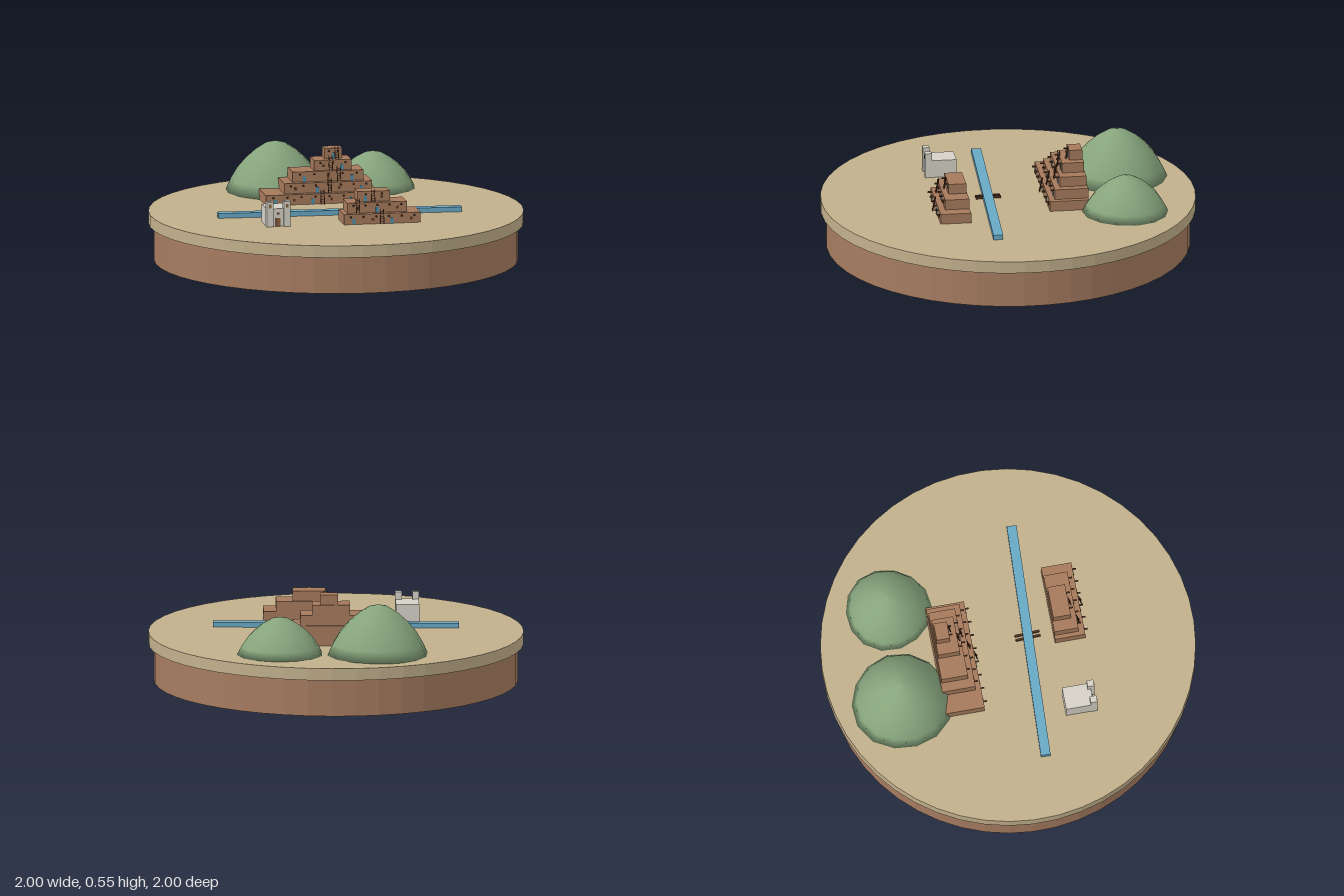
import * as THREE from 'three';

const mat = (name, color, extra = {}) => {
  const m = new THREE.MeshStandardMaterial({ color, ...extra });
  m.name = name;
  return m;
};

export function createModel() {
  const sand = mat('sand', 0xc2b08c, { flatShading: true });
  const earth = mat('earth', 0xa67c60, { flatShading: true });
  const adobe = mat('adobe', 0xa67a5c);
  const wood = mat('dark wood', 0x5a3a26);
  const brown = mat('door brown', 0x8b5e3c);
  const blue = mat('painted blue', 0x4a90b0);
  const water = mat('water', 0x68a8c4);
  const plaster = mat('pale plaster', 0xd6d2c8);
  const foliage = mat('hill green', 0x86a47c);

  const model = new THREE.Group();
  model.name = 'villageDiorama';
  const GROUND = 0.265;
  const TURN = -0.349;

  const add = (parent, name, geo, material, x, y, z) => {
    const m = new THREE.Mesh(geo, material);
    m.name = name;
    m.position.set(x, y, z);
    parent.add(m);
    return m;
  };
  // box standing on height y
  const box = (parent, name, material, w, h, d, x, y, z) =>
    add(parent, name, new THREE.BoxGeometry(w, h, d), material, x, y + h / 2, z);
  const site = (name, x, z, turn = TURN) => {
    const g = new THREE.Group();
    g.name = name;
    g.position.set(x, GROUND, z);
    g.rotation.y = turn;
    model.add(g);
    return g;
  };

  // Round base
  add(model, 'baseEarth', new THREE.CylinderGeometry(0.97, 0.97, 0.2, 48), earth, 0, 0.1, 0);
  add(model, 'baseGround', new THREE.CylinderGeometry(1, 1, 0.065, 48), sand, 0, 0.2325, 0);

  // Hills: faceted domes with a slightly uneven outline
  const hill = (name, x, z, r, h, phase) => {
    const pts = [[0, 0], [1, 0], [0.9, 0.22], [0.77, 0.44], [0.6, 0.64], [0.4, 0.82], [0.2, 0.95], [0, 1]]
      .map(([a, b]) => new THREE.Vector2(a * r, b * h));
    const geo = new THREE.LatheGeometry(pts, 14);
    const p = geo.attributes.position;
    for (let i = 0; i < p.count; i++) {
      const a = Math.atan2(p.getZ(i), p.getX(i));
      const k = 1 + 0.02 * Math.sin(3 * a + phase);
      p.setX(i, p.getX(i) * k);
      p.setZ(i, p.getZ(i) * k);
    }
    add(model, name, geo, foliage, x, GROUND, z);
  };
  hill('largeHill', 0.01, -0.65, 0.27, 0.27, 0.5);
  hill('smallHill', 0.495, -0.45, 0.23, 0.2, 2);

  // River and the logs that cross it
  const river = site('river', -0.04, 0.104, -0.392);
  box(river, 'riverWater', water, 1.31, 0.026, 0.052, 0, 0, 0);
  const bridge = site('bridge', -0.01, 0.115, -0.3);
  for (const s of [-1, 1]) box(bridge, 'bridgeLog', wood, 0.011, 0.012, 0.135, s * 0.012, 0.006, 0);

  // Ladder leaning back towards a wall
  const ladder = (parent, x, y, z, len = 0.08) => {
    const g = new THREE.Group();
    g.name = 'ladder';
    g.position.set(x, y, z);
    g.rotation.x = -0.2;
    parent.add(g);
    for (const s of [-1, 1]) box(g, 'ladderRail', wood, 0.004, len, 0.004, s * 0.009, 0, 0);
    for (let i = 1; i < 6; i++) box(g, 'ladderRung', wood, 0.018, 0.003, 0.003, 0, i * len / 6, 0);
  };

  // Stepped house; each tier is [left, right, back, front]
  const TIER = 0.055;
  const pueblo = (name, x, z, tiers) => {
    const g = site(name, x, z);
    tiers.forEach(([l, r, b, f], i) => {
      const w = r - l, y = i * TIER;
      box(g, 'tier', adobe, w, TIER, f - b, (l + r) / 2, y, (b + f) / 2);
      // roof beams
      const n = Math.max(2, Math.round(w / 0.072));
      for (let k = 0; k < n; k++)
        box(g, 'roofBeam', wood, 0.007, 0.007, 0.02, l + (k + 0.5) * w / n, y + 0.038, f + 0.009);
      // doors and windows
      const m = Math.max(1, Math.round(w / 0.11));
      for (let k = 0; k < m; k++) {
        const px = l + (k + 0.5) * w / m;
        if ((k + i) % 2) box(g, 'window', wood, 0.014, 0.014, 0.004, px, y + 0.018, f + 0.001);
        else box(g, 'door', blue, 0.016, 0.03, 0.004, px, y, f + 0.001);
      }
    });
    return g;
  };
  const north = pueblo('northPueblo', 0.065, -0.29, [
    [-0.305, 0.305, -0.105, 0.105],
    [-0.2, 0.276, -0.105, 0.075],
    [-0.149, 0.235, -0.1, 0.043],
    [-0.029, 0.173, -0.096, 0.022],
    [0.035, 0.131, -0.092, -0.021],
  ]);
  ladder(north, 0.0, 0, 0.121);
  ladder(north, 0.045, TIER, 0.09);
  ladder(north, 0.1, TIER * 2, 0.058);
  ladder(north, 0.06, TIER * 3, 0.035);
  ladder(north, 0.1, TIER * 4 - 0.005, -0.006, 0.07);

  const south = pueblo('southPueblo', 0.05, 0.37, [
    [-0.207, 0.207, -0.082, 0.082],
    [-0.184, 0.14, -0.081, 0.049],
    [-0.123, 0.052, -0.076, 0.019],
  ]);
  ladder(south, -0.003, 0, 0.098);
  ladder(south, -0.128, TIER, 0.064);
  ladder(south, -0.04, TIER * 2 - 0.005, 0.034, 0.07);

  // Chapel with two bell towers
  const chapel = site('chapel', -0.468, 0.157);
  box(chapel, 'nave', plaster, 0.125, 0.095, 0.15, 0, 0, 0);
  for (const s of [-1, 1]) {
    box(chapel, 'bellTower', plaster, 0.036, 0.136, 0.036, s * 0.046, 0, 0.076);
    box(chapel, 'bellOpening', brown, 0.014, 0.02, 0.004, s * 0.046, 0.103, 0.0945);
  }
  box(chapel, 'chapelDoor', brown, 0.026, 0.045, 0.004, 0, 0, 0.0765);
  box(chapel, 'chapelWindow', wood, 0.012, 0.012, 0.004, 0, 0.063, 0.0765);

  return model;
}
